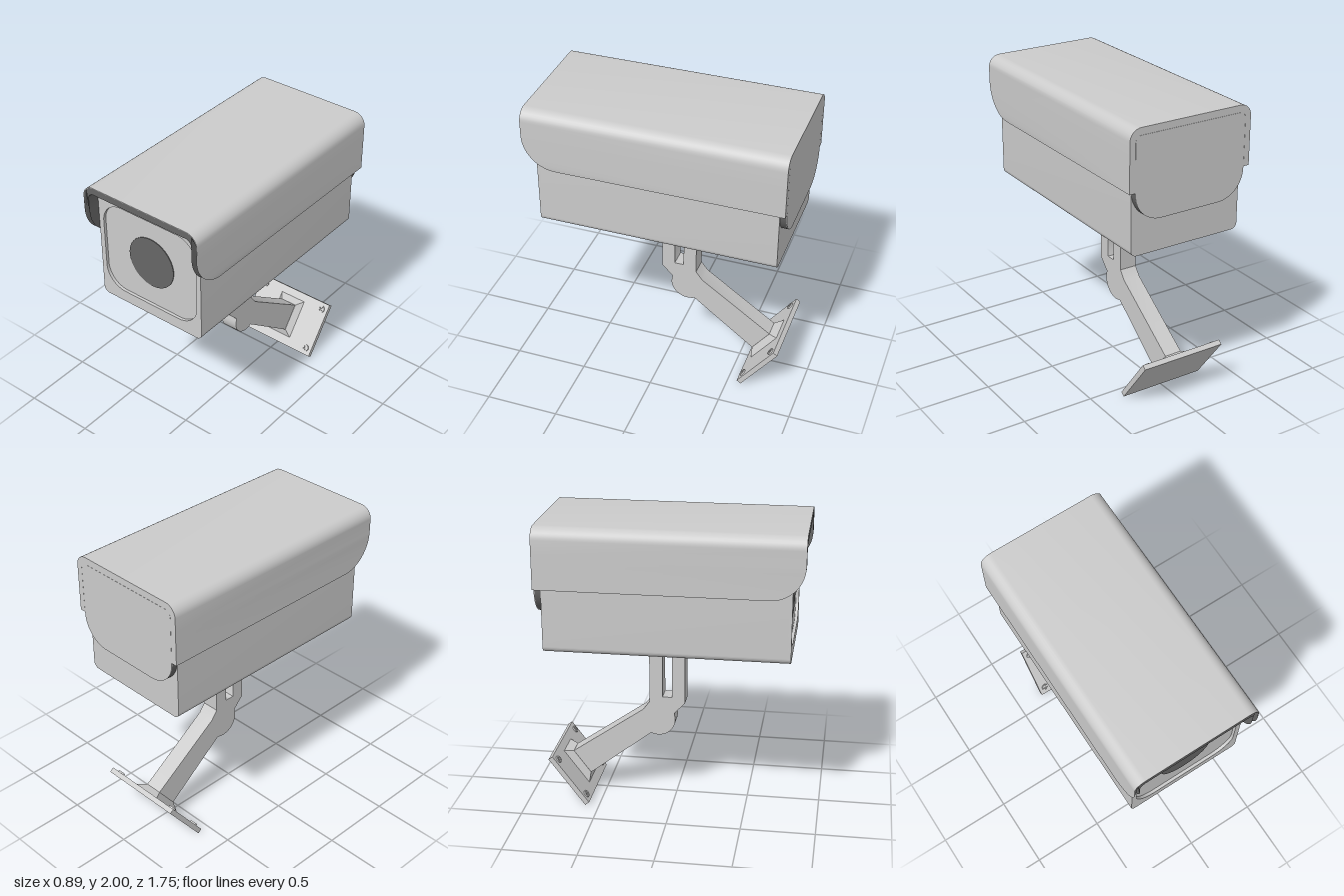
import * as THREE from 'three';
import { toCreasedNormals } from 'three/addons/utils/BufferGeometryUtils.js';

const grey = new THREE.MeshStandardMaterial({ color: 0xcccccc });
const dark = new THREE.MeshStandardMaterial({ color: 0x666666 });

function add(parent, name, geometry, material = grey, x = 0, y = 0, z = 0) {
  const mesh = new THREE.Mesh(geometry, material);
  mesh.name = name;
  mesh.position.set(x, y, z);
  parent.add(mesh);
  return mesh;
}

// Rectangle path with separate radii for the bottom and top corners
function roundRect(path, w, y0, y1, rb, rt) {
  path.moveTo(-w + rb, y0);
  path.lineTo(w - rb, y0);
  path.absarc(w - rb, y0 + rb, rb, -Math.PI / 2, 0);
  path.absarc(w - rt, y1 - rt, rt, 0, Math.PI / 2);
  path.absarc(-w + rt, y1 - rt, rt, Math.PI / 2, Math.PI);
  path.absarc(-w + rb, y0 + rb, rb, Math.PI, Math.PI * 1.5);
  return path;
}

// Extrude a shape from z0 to z1
function slab(shape, z0, z1) {
  const g = new THREE.ExtrudeGeometry(shape, { depth: z1 - z0, bevelEnabled: false, curveSegments: 12 });
  g.translate(0, 0, z0);
  return toCreasedNormals(g, 0.6);
}

// Arch outline: sampled straight legs and rounded upper corners
const LEG_Y = 1.59, CURVE_H = 0.23, CURVE_Z = 0.225, FRONT_Z = 0.875;
function archLine(w, top, r) {
  const half = [];
  for (let i = 0; i <= 14; i++) {
    half.push([w, LEG_Y + CURVE_H * (1 - Math.cos((i / 14) * Math.PI / 2))]);
  }
  for (let i = 0; i <= 8; i++) {
    const a = (i / 8) * Math.PI / 2;
    half.push([w - r + r * Math.cos(a), top - r + r * Math.sin(a)]);
  }
  const mirrored = half.map(([x, y]) => [-x, y]).reverse();
  return [...half, ...mirrored].map(([x, y]) => new THREE.Vector2(x, y));
}
function archShape(outer, inner) {
  return new THREE.Shape([...archLine(...outer), ...archLine(...inner).reverse()]);
}

// Arch extruded along z, its front edge swept back towards the bottom
function hoodShell(outer, inner, back) {
  const g = new THREE.ExtrudeGeometry(archShape(outer, inner), { depth: 1, bevelEnabled: false });
  const p = g.attributes.position;
  for (let i = 0; i < p.count; i++) {
    const k = Math.min(1, Math.max(0, (LEG_Y + CURVE_H - p.getY(i)) / CURVE_H));
    const front = FRONT_Z - CURVE_Z * (1 - Math.sqrt(1 - k * k));
    p.setZ(i, p.getZ(i) > 0.5 ? front : back);
  }
  return toCreasedNormals(g, 0.6);
}

// Four-sided frustum with its base on z = 0
function frustum(w0, h0, w1, h1, depth) {
  const g = new THREE.BoxGeometry(2, 2, depth).toNonIndexed();
  const p = g.attributes.position;
  for (let i = 0; i < p.count; i++) {
    const top = p.getZ(i) > 0;
    p.setXYZ(i, p.getX(i) * (top ? w1 : w0), p.getY(i) * (top ? h1 : h0), top ? depth : 0);
  }
  g.computeVertexNormals();
  return g;
}

function createModel() {
  const model = new THREE.Group();
  model.name = 'securityCamera';

  // Housing with a shallow recessed front panel and lens window
  const section = () => roundRect(new THREE.Shape(), 0.405, 1.15, 1.95, 0.04, 0.04);
  add(model, 'housing', slab(section(), -0.83, 0.775));
  const frame = section();
  frame.holes.push(roundRect(new THREE.Path(), 0.37, 1.23, 1.87, 0.15, 0.15));
  add(model, 'frontFrame', slab(frame, 0.775, 0.795));
  const lens = new THREE.CylinderGeometry(0.178, 0.178, 0.006, 64).rotateX(Math.PI / 2);
  add(model, 'lens', lens, dark, 0, 1.55, 0.777);

  // Sun hood: light skin over a dark lining
  const skin = [0.447, 2, 0.08], mid = [0.443, 1.996, 0.076], inside = [0.406, 1.952, 0.042];
  add(model, 'hoodSkin', hoodShell(skin, mid, -0.875));
  add(model, 'hoodLining', hoodShell(mid, inside, -0.87), dark);
  add(model, 'hoodBackRim', slab(archShape(mid, inside), -0.875, -0.87));

  // Rear cover with large lower corners
  const cover = () => roundRect(new THREE.Shape(), 0.405, 1.39, 1.951, 0.19, 0.04);
  add(model, 'rearCoverEdge', slab(cover(), -0.87, -0.83), dark);
  add(model, 'rearCover', slab(cover(), -0.875, -0.87));

  // Mounting pad under the housing
  const cx = -0.007;
  add(model, 'mountPad', new THREE.BoxGeometry(0.25, 0.045, 0.375), grey, cx, 1.1275, -0.057);

  // Bent arm, drawn in the (z, y) plane, with a slot and a round elbow
  const arm = new THREE.Shape();
  arm.moveTo(0.065, 1.105);
  arm.lineTo(0.065, 0.7);
  arm.lineTo(-0.008, 0.624);
  arm.absarc(-0.12, 0.575, 0.118, Math.PI * 0.09, -Math.PI * 0.64, true);
  arm.lineTo(-0.6, 0.136);
  arm.lineTo(-0.61, 0.13);
  arm.lineTo(-0.73, 0.287);
  arm.lineTo(-0.225, 0.64);
  arm.lineTo(-0.18, 0.7);
  arm.lineTo(-0.18, 1.105);
  const slot = new THREE.Path();
  roundRect(slot, 0.0325, 0.74, 1.1, 0.001, 0.001);
  arm.holes.push(new THREE.Path(slot.getPoints(2).map((p) => new THREE.Vector2(p.x - 0.0575, p.y))));
  add(model, 'arm', slab(arm, -0.0615, 0.0615), grey, cx).rotation.y = -Math.PI / 2;

  // Tilted wall plate with a tapered socket for the arm
  const base = new THREE.Group();
  base.name = 'wallMount';
  base.position.set(cx, 0.1855, -0.6925);
  base.rotation.x = -0.647;
  model.add(base);
  add(base, 'wallPlate', new THREE.BoxGeometry(0.61, 0.413, 0.035), grey, 0, 0, -0.0175);
  add(base, 'armSocket', frustum(0.102, 0.145, 0.063, 0.099, 0.041), grey, 0, 0.005, 0);

  // Cross-head screws in the plate corners
  const head = new THREE.Shape().absarc(0, 0, 0.025, 0, Math.PI * 2);
  const cross = [];
  for (let i = 0; i < 4; i++) {
    for (const [x, y] of [[0.017, -0.004], [0.017, 0.004], [0.004, 0.004]]) {
      cross.push(new THREE.Vector2(x, y).rotateAround(new THREE.Vector2(), i * Math.PI / 2));
    }
  }
  head.holes.push(new THREE.Path(cross));
  const screw = slab(head, 0, 0.01);
  for (const sx of [-1, 1]) {
    for (const sy of [-1, 1]) {
      add(base, 'screw', screw, grey, sx * 0.257, sy * 0.157, 0).rotation.z = 0.4 + sx * 0.3 + sy * 0.2;
    }
  }
  return model;
}

export { createModel };
